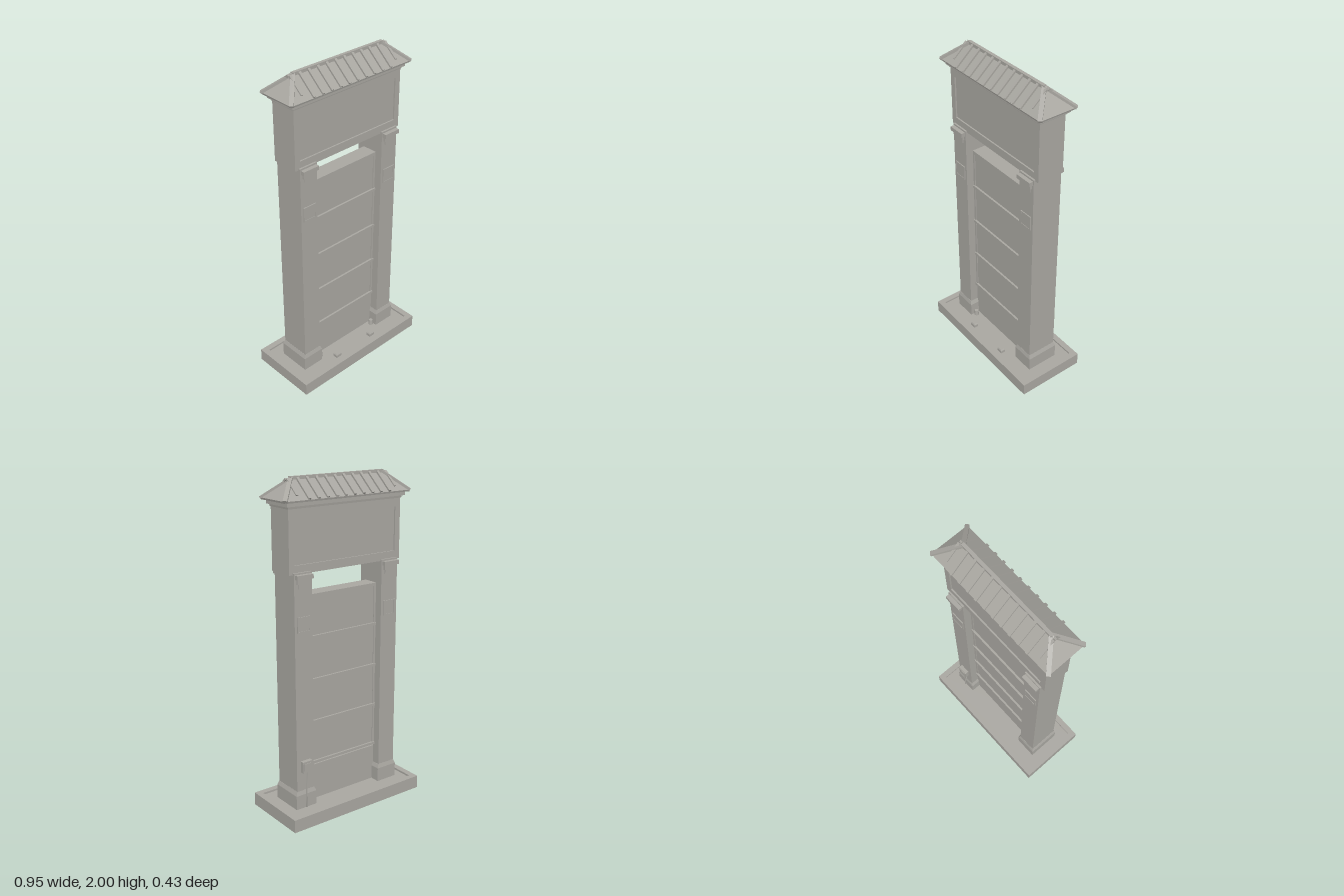
import * as THREE from 'three';

const stone = new THREE.MeshStandardMaterial({ color: 0xa8a6a0 });
stone.name = 'warm grey';
const stoneOpen = stone;
stoneOpen.side = THREE.DoubleSide;

function add(parent, name, geometry, x = 0, y = 0, z = 0) {
  const mesh = new THREE.Mesh(geometry, stone);
  mesh.name = name;
  mesh.position.set(x, y, z);
  parent.add(mesh);
  return mesh;
}

// Box given by its centre in x and z, and by its bottom and top heights
function block(parent, name, x, z, w, d, y0, y1) {
  return add(parent, name, new THREE.BoxGeometry(w, y1 - y0, d), x, (y0 + y1) / 2, z);
}

// Skin over rectangular rings [halfWidth, halfDepth, height]
function loft(rings, closeBottom = true) {
  const corners = rings.map(([w, d, y]) => [[-w, y, d], [w, y, d], [w, y, -d], [-w, y, -d]]);
  const pos = [];
  const quad = (a, b, c, d) => [a, b, c, a, c, d].forEach((p) => pos.push(...p));
  for (let r = 0; r + 1 < corners.length; r++) {
    const a = corners[r], b = corners[r + 1];
    for (let i = 0; i < 4; i++) {
      const j = (i + 1) % 4;
      quad(a[i], a[j], b[j], b[i]);
    }
  }
  quad(...corners[corners.length - 1]);
  if (closeBottom) quad(...[...corners[0]].reverse());
  const g = new THREE.BufferGeometry();
  g.setAttribute('position', new THREE.Float32BufferAttribute(pos, 3));
  g.computeVertexNormals();
  return g;
}

// Square bar running from one point to another
function bar(parent, name, from, to, w, h) {
  const p = new THREE.Vector3(...from), q = new THREE.Vector3(...to);
  const mesh = add(parent, name, new THREE.BoxGeometry(w, h, p.distanceTo(q)));
  mesh.position.copy(p).lerp(q, 0.5);
  mesh.lookAt(q);
  return mesh;
}

function rectangle(Type, x0, y0, x1, y1) {
  const s = new Type();
  s.moveTo(x0, y0);
  s.lineTo(x1, y0);
  s.lineTo(x1, y1);
  s.lineTo(x0, y1);
  s.closePath();
  return s;
}

// Slab standing in the x-y plane with one rectangular opening
function frame(outer, inner, depth) {
  const s = rectangle(THREE.Shape, ...outer);
  s.holes.push(rectangle(THREE.Path, ...inner));
  return new THREE.ExtrudeGeometry(s, { depth, bevelEnabled: false }).translate(0, 0, -depth / 2);
}

export function createModel() {
  const model = new THREE.Group();
  model.name = 'gatewayPylon';

  // Tray base, open underneath
  add(model, 'base', loft([[0.473, 0.217, 0], [0.473, 0.217, 0.08], [0.435, 0.18, 0.08], [0.435, 0.18, 0.068]], false));

  // Pillars with plinths, brackets, plates and ground fittings
  for (const side of [-1, 1]) {
    const pillar = new THREE.Group();
    pillar.name = side > 0 ? 'leftPillar' : 'rightPillar';
    model.add(pillar);
    const x = side * 0.31;
    block(pillar, 'shaft', x, 0, 0.12, 0.19, 0.068, 1.49);
    add(pillar, 'plinth', loft([[0.071, 0.103, 0.068], [0.071, 0.103, 0.155], [0.061, 0.096, 0.18]]), x);
    for (const face of [-1, 1]) {
      block(pillar, 'bracketTop', x, face * 0.1, 0.108, 0.04, 1.455, 1.48);
      block(pillar, 'bracketMiddle', x, face * 0.09, 0.09, 0.034, 1.428, 1.455);
      block(pillar, 'bracketBottom', x, face * 0.085, 0.07, 0.03, 1.402, 1.428);
      const plate = add(pillar, 'plate', frame([-0.044, -0.045, 0.044, 0.045], [-0.037, -0.038, 0.037, 0.038], 0.01), x, 1.195, face * 0.096);
      block(plate, 'plateCentre', 0, 0, 0.074, 0.005, -0.038, 0.038);
    }
    // Low round-topped fitting beside the plinth, and a ground light
    add(pillar, 'floorFitting', new THREE.CylinderGeometry(0.012, 0.016, 0.035, 10), side * 0.225, 0.085, 0.07);
    const light = new THREE.Group();
    light.name = 'groundLight';
    pillar.add(light);
    block(light, 'lightBody', side * 0.146, 0.145, 0.04, 0.03, 0.068, 0.086);
    add(light, 'lightTop', loft([[0.02, 0.015, 0.086], [0.014, 0.01, 0.094]]), side * 0.146, 0, 0.145);
  }

  // Meter box with its conduit on the back of the left pillar
  const meter = new THREE.Group();
  meter.name = 'meterBox';
  model.add(meter);
  block(meter, 'meterBody', 0.31, -0.106, 0.066, 0.028, 0.3, 0.37);
  block(meter, 'meterDoor', 0.31, -0.121, 0.048, 0.005, 0.313, 0.357);
  add(meter, 'conduit', new THREE.CylinderGeometry(0.005, 0.005, 0.24, 8), 0.31, 0.185, -0.106);

  // Lower panel and hanging screen of four slats
  block(model, 'lowerPanel', 0, 0, 0.505, 0.084, 0.068, 0.292);
  const screen = new THREE.Group();
  screen.name = 'screen';
  model.add(screen);
  block(screen, 'screenCore', 0, 0, 0.49, 0.084, 0.305, 1.345);
  for (let i = 0; i < 4; i++) {
    const y = 0.305 + i * 0.26;
    block(screen, 'slatRail', 0, 0, 0.5, 0.108, y, y + 0.016);
  }
  block(screen, 'topRail', 0, 0, 0.5, 0.096, 1.325, 1.345);
  for (const side of [-1, 1]) block(screen, 'stile', side * 0.243, 0, 0.014, 0.094, 0.305, 1.345);

  // Header box with a sunken field on both faces
  const header = new THREE.Group();
  header.name = 'header';
  model.add(header);
  add(header, 'headerFrame', frame([-0.393, 1.48, 0.393, 1.85], [-0.357, 1.53, 0.357, 1.79], 0.168));
  block(header, 'headerField', 0, 0, 0.714, 0.15, 1.53, 1.79);
  add(header, 'cornice', loft([[0.397, 0.088, 1.838], [0.399, 0.09, 1.85], [0.412, 0.102, 1.852], [0.412, 0.102, 1.876]]));

  // Hipped roof
  const roof = new THREE.Group();
  roof.name = 'roof';
  model.add(roof);
  add(roof, 'roofSlopes', loft([[0.433, 0.118, 1.874], [0.436, 0.121, 1.884], [0.32, 0.0005, 1.988]]));
  bar(roof, 'ridgeBar', [-0.325, 1.99, 0], [0.325, 1.99, 0], 0.02, 0.018);
  for (const face of [-1, 1]) {
    for (const side of [-1, 1]) {
      bar(roof, 'hipBar', [side * 0.436, 1.884, face * 0.121], [side * 0.318, 1.99, 0], 0.024, 0.014);
      bar(roof, 'endRib', [side * 0.342, 1.908, face * 0.095], [side * 0.342, 1.987, face * 0.004], 0.015, 0.012);
    }
    for (let i = 0; i < 10; i++) {
      const x = -0.281 + i * 0.0622;
      bar(roof, 'rib', [x, 1.887, face * 0.121], [x, 1.989, face * 0.004], 0.016, 0.016);
    }
  }
  return model;
}
